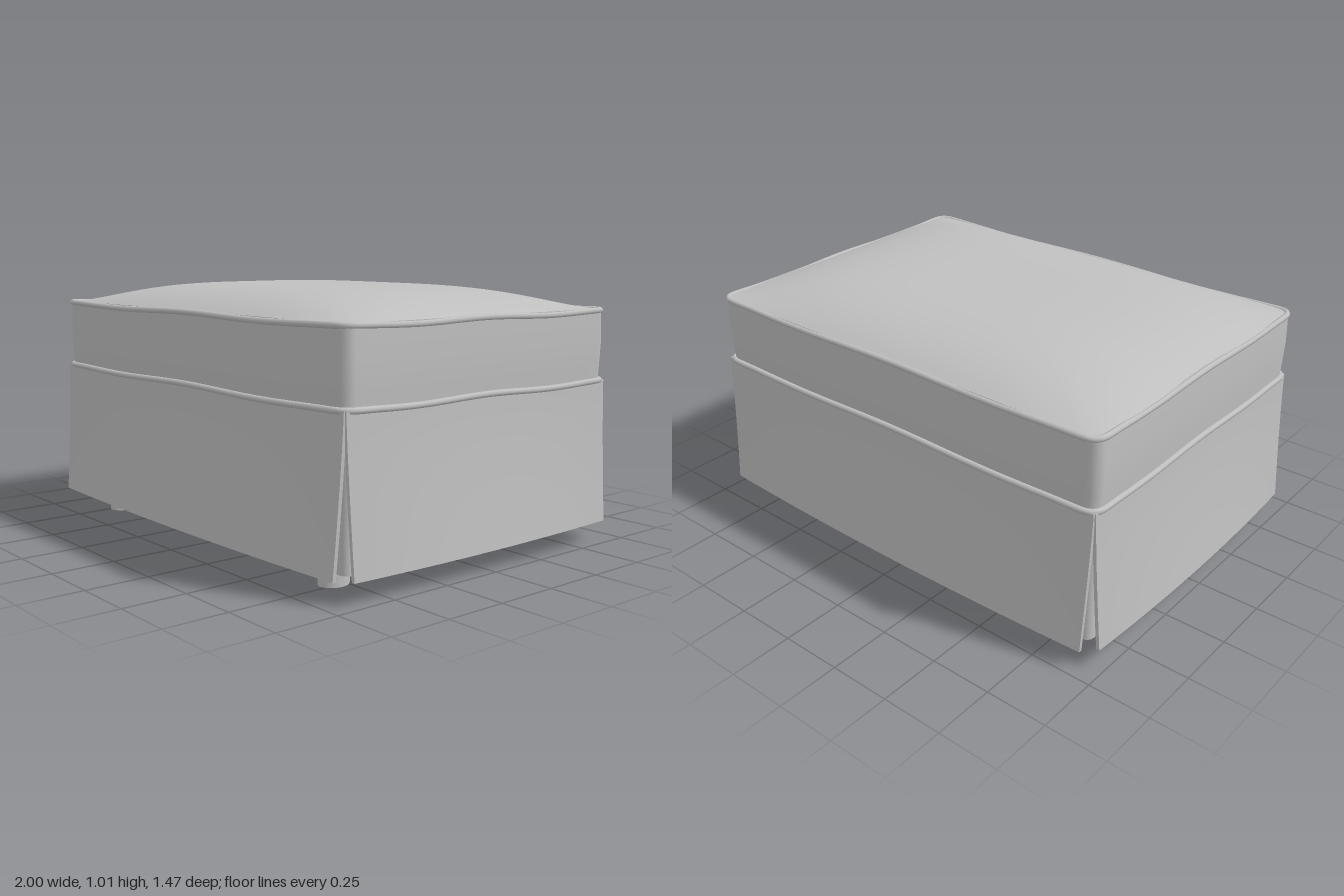
import * as THREE from 'three';

// Closed rounded-rectangle outline in the xz plane
function outline(hx, hz, r) {
  const corners = [[1, 1], [-1, 1], [-1, -1], [1, -1]];
  const arcs = corners.map(([sx, sz], k) => {
    const arc = [];
    for (let i = 0; i <= 4; i++) {
      const a = (k + i / 4) * Math.PI / 2;
      arc.push([sx * (hx - r) + r * Math.cos(a), sz * (hz - r) + r * Math.sin(a)]);
    }
    return arc;
  });
  const pts = [];
  arcs.forEach((arc, k) => {
    pts.push(...arc);
    const a = arc[4], b = arcs[(k + 1) % 4][0];
    for (let i = 1; i < 14; i++) {
      pts.push([a[0] + (b[0] - a[0]) * i / 14, a[1] + (b[1] - a[1]) * i / 14]);
    }
  });
  return pts;
}

// Skin a stack of rings, each an array of [x, y, z]
function loft(rings) {
  const n = rings[0].length, index = [];
  for (let j = 0; j < rings.length - 1; j++) {
    for (let i = 0; i < n; i++) {
      const a = j * n + i, c = j * n + (i + 1) % n;
      index.push(a, a + n, c, c, a + n, c + n);
    }
  }
  const g = new THREE.BufferGeometry();
  g.setAttribute('position', new THREE.Float32BufferAttribute(rings.flat(2), 3));
  g.setIndex(index);
  g.computeVertexNormals();
  return g;
}

const flatRing = (hx, hz, r, y) => outline(hx, hz, r).map(([x, z]) => [x, y, z]);

// Padded top: flat in the middle, falling off towards the seam
function domeGeometry(hx, hz) {
  const base = outline(hx, hz, 0.05), rings = [];
  for (let k = 0; k <= 18; k++) {
    const s = Math.max(1 - k / 18, 0.0005);
    rings.push(base.map(([x, z]) => {
      const u = x * s / hx, v = z * s / hz;
      return [x * s, 0.922 + 0.093 * (1 - u ** 4) * (1 - v ** 4), z * s];
    }));
  }
  return loft(rings);
}

// Piping cord with a slight hand-sewn waviness
function pipingGeometry(hx, hz, y, r) {
  const pts = outline(hx, hz, 0.05).map(([x, z]) => new THREE.Vector3(
    x, y + 0.004 * Math.cos(x * 6.5) * Math.cos(z * 9), z));
  return new THREE.TubeGeometry(new THREE.CatmullRomCurve3(pts, true), 320, r, 8, true);
}

// Hanging skirt panel facing +z: flares outwards and bows in the middle
function skirtGeometry(halfTop, halfBottom, zTop, zEnd, zMid) {
  const top = 0.645, bottom = 0.082, thick = 0.014;
  const g = new THREE.BoxGeometry(2, 1, thick, 20, 12, 1);
  const p = g.attributes.position;
  for (let i = 0; i < p.count; i++) {
    const u = p.getX(i), t = 0.5 - p.getY(i);
    const flare = zEnd + (zMid - zEnd) * (1 - u * u) - zTop;
    p.setXYZ(i,
      u * (halfTop + (halfBottom - halfTop) * t),
      top + (bottom - top) * t,
      zTop + flare * t ** 1.3 + p.getZ(i) - thick / 2);
  }
  g.computeVertexNormals();
  return g;
}

export function createModel() {
  const group = new THREE.Group();
  const fabric = new THREE.MeshStandardMaterial({ color: 0xc0c0c0 });
  fabric.name = 'grey fabric';
  fabric.side = THREE.DoubleSide;
  const add = (name, geometry) => {
    const m = new THREE.Mesh(geometry, fabric);
    m.name = name;
    group.add(m);
    return m;
  };

  // Cushion
  add('cushionTop', domeGeometry(0.94, 0.675));
  add('cushionBand', loft([
    flatRing(0.94, 0.67, 0.045, 0.63),
    flatRing(0.943, 0.672, 0.045, 0.7),
    flatRing(0.947, 0.675, 0.045, 0.8),
    flatRing(0.943, 0.674, 0.045, 0.925),
  ]));
  add('upperPiping', pipingGeometry(0.94, 0.674, 0.915, 0.012));
  add('lowerPiping', pipingGeometry(0.944, 0.677, 0.64, 0.012));

  // Inner base and its underside
  add('baseSides', loft([
    flatRing(0.928, 0.655, 0.03, 0.09),
    flatRing(0.928, 0.655, 0.03, 0.64),
  ]));
  add('underside', loft([
    flatRing(0.0004, 0.0004, 0.0001, 0.09),
    flatRing(0.928, 0.655, 0.03, 0.09),
  ]));

  // Four separate skirt panels, open at the corners
  const longPanel = skirtGeometry(0.94, 0.928, 0.676, 0.712, 0.735);
  const shortPanel = skirtGeometry(0.67, 0.66, 0.945, 0.978, 1.0);
  add('frontSkirt', longPanel);
  add('backSkirt', longPanel).rotation.y = Math.PI;
  add('leftSkirt', shortPanel).rotation.y = Math.PI / 2;
  add('rightSkirt', shortPanel).rotation.y = -Math.PI / 2;

  // Stubby feet
  const footGeometry = new THREE.CylinderGeometry(0.052, 0.05, 0.1, 24);
  for (const x of [-0.73, 0.73]) {
    for (const z of [0.54, -0.52]) {
      const foot = add('foot', footGeometry);
      foot.position.set(x, 0.05, z);
      foot.scale.z = 1.22;
    }
  }
  return group;
}
